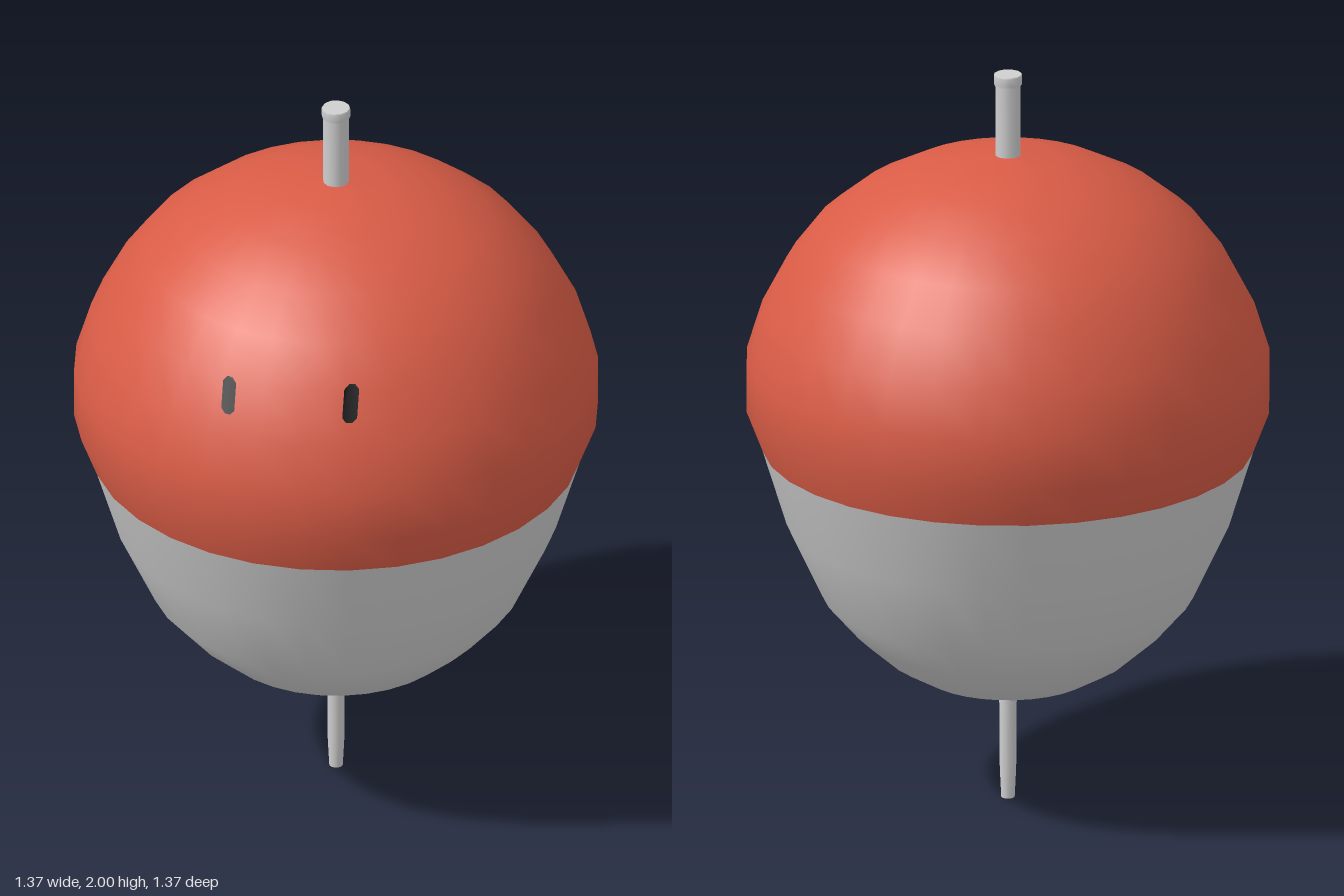
import * as THREE from 'three';

const red = new THREE.MeshStandardMaterial({ name: 'red', color: 0xd95c46 });
const grey = new THREE.MeshStandardMaterial({ name: 'pale grey', color: 0xcfcfcf });
const black = new THREE.MeshStandardMaterial({ name: 'black', color: 0x080808 });

// Body outline as [radius, height], bottom to top
const OUTLINE = [
  [0, 0.303], [0.075, 0.306], [0.13, 0.312], [0.225, 0.345], [0.32, 0.4], [0.405, 0.475],
  [0.487, 0.57], [0.58, 0.77], [0.643, 0.975], [0.685, 1.085], [0.685, 1.22], [0.645, 1.35],
  [0.58, 1.475], [0.5, 1.58], [0.395, 1.665], [0.27, 1.73], [0.135, 1.768], [0, 1.78],
];
const SIDES = 32;
const PAINT_LINE = 8; // outline index where the red upper half starts

const toPoints = (list) => list.map(([r, y]) => new THREE.Vector2(r, y));

function radiusAt(y) {
  const i = OUTLINE.findIndex((p) => p[1] > y);
  const [r0, y0] = OUTLINE[i - 1];
  const [r1, y1] = OUTLINE[i];
  return r0 + ((r1 - r0) * (y - y0)) / (y1 - y0);
}

// One smooth shell, split by height into red tip, grey lower half and red upper half
function makeBody() {
  const geometry = new THREE.LatheGeometry(toPoints(OUTLINE), SIDES);
  const rows = OUTLINE.length - 1;
  geometry.clearGroups();
  for (let s = 0; s < SIDES; s++) {
    const start = s * rows * 6;
    geometry.addGroup(start, 6, 0);
    geometry.addGroup(start + 6, (PAINT_LINE - 1) * 6, 1);
    geometry.addGroup(start + PAINT_LINE * 6, (rows - PAINT_LINE) * 6, 0);
  }
  const body = new THREE.Mesh(geometry, [red, grey]);
  body.name = 'body';
  return body;
}

// Rounded upright mark laid onto the curved shell
function makeEye(name, x, y, width, height) {
  const shape = new THREE.Shape();
  const w = width / 2, h = height / 2, c = width * 0.3;
  shape.moveTo(-w, -h + c);
  shape.lineTo(-w + c, -h);
  shape.lineTo(w - c, -h);
  shape.lineTo(w, -h + c);
  shape.lineTo(w, h - c);
  shape.lineTo(w - c, h);
  shape.lineTo(-w + c, h);
  shape.lineTo(-w, h - c);
  const geometry = new THREE.ShapeGeometry(shape);
  const pos = geometry.attributes.position;
  for (let i = 0; i < pos.count; i++) {
    const px = pos.getX(i) + x, py = pos.getY(i) + y;
    const r = radiusAt(py) + 0.004;
    pos.setXYZ(i, px, py, Math.sqrt(r * r - px * px));
  }
  geometry.computeVertexNormals();
  const eye = new THREE.Mesh(geometry, black);
  eye.name = name;
  return eye;
}

// Round pin with flat closed ends
function makePin(name, outline) {
  const pin = new THREE.Mesh(new THREE.LatheGeometry(toPoints(outline), 12), grey);
  pin.name = name;
  return pin;
}

export function createModel() {
  const model = new THREE.Group();
  model.name = 'fishingFloat';
  model.add(makeBody());
  model.add(makeEye('rightEye', -0.2, 1.442, 0.036, 0.085));
  model.add(makeEye('leftEye', 0.124, 1.453, 0.038, 0.088));
  // Upper pin with a slightly wider cap
  model.add(makePin('upperPin', [
    [0.034, 1.7], [0.034, 1.968], [0.038, 1.976], [0.038, 1.996], [0.036, 2], [0.036, 2], [0, 2],
  ]));
  // Lower pin, narrowing near its foot
  model.add(makePin('lowerPin', [
    [0, 0], [0.018, 0], [0.018, 0], [0.022, 0.08], [0.024, 0.34],
  ]));
  return model;
}
